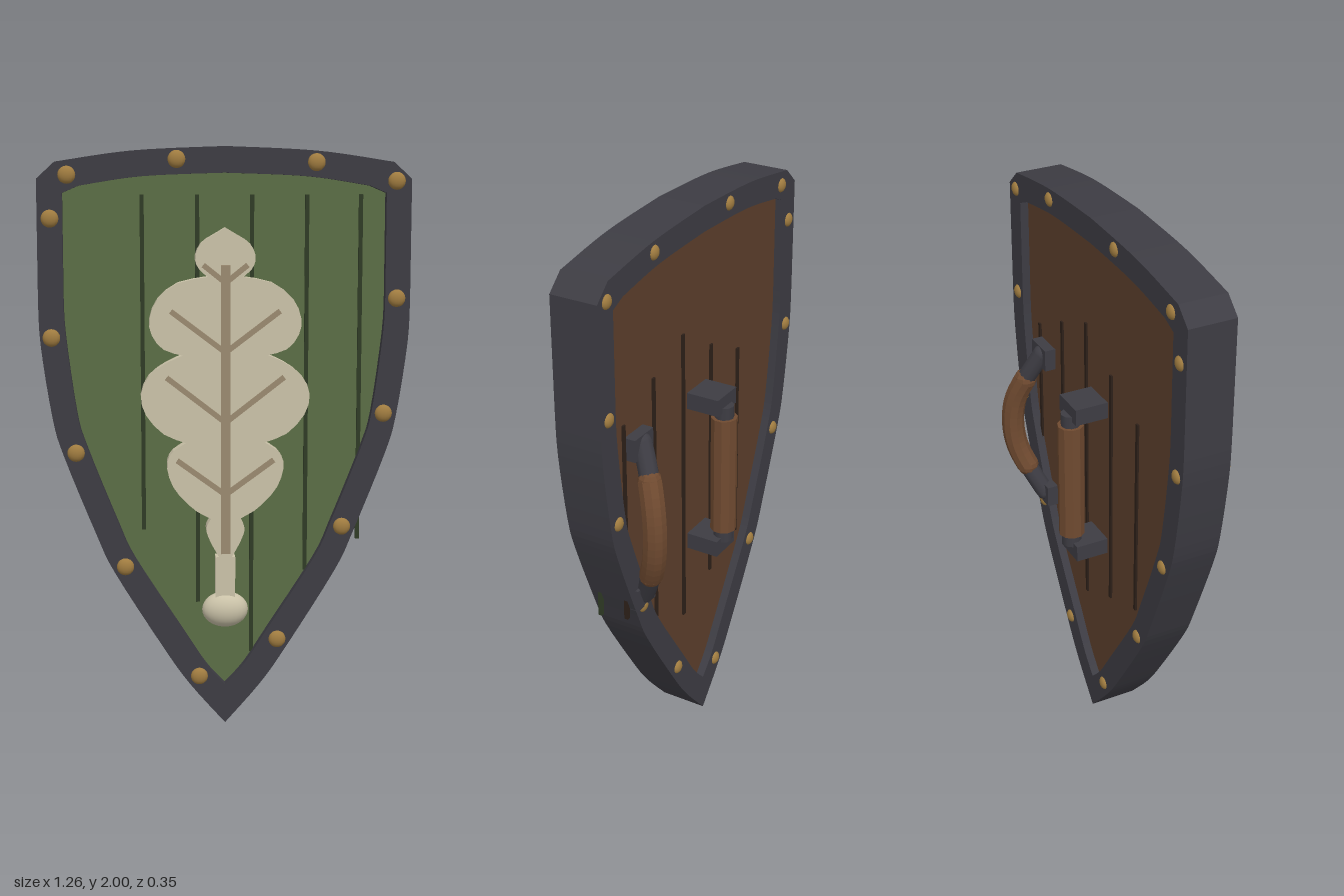
import * as THREE from 'three';

const mat = (name, color, extra = {}) => Object.assign(new THREE.MeshStandardMaterial({ color, ...extra }), { name });
const V3 = (x, y, z) => new THREE.Vector3(x, y, z);

// Half outlines (x >= 0) from the bottom tip up; lower curve and top arc are splines
const rimLower = [[0, 0], [0.124, 0.143], [0.217, 0.278], [0.382, 0.545], [0.443, 0.678], [0.55, 0.95], [0.588, 1.085], [0.625, 1.34], [0.631, 1.5]];
const rimTop = [[0.631, 1.892], [0.57, 1.948], [0.31, 1.985], [0, 2]];
const innerLower = [[0, 0.138], [0.065, 0.21], [0.143, 0.33], [0.308, 0.588], [0.367, 0.718], [0.47, 0.98], [0.505, 1.105], [0.54, 1.37], [0.546, 1.5]];
const innerTop = [[0.546, 1.845], [0.49, 1.869], [0.28, 1.9], [0, 1.912]];

const spline = (pts, n) => new THREE.SplineCurve(pts.map(p => new THREE.Vector2(...p))).getPoints(n);
// Close a right-hand half outline by mirroring it
function mirrored(half) {
  const left = half.slice().reverse().filter(p => p.x > 1e-4).map(p => new THREE.Vector2(-p.x, p.y));
  return half.concat(left);
}
const outline = (lower, top) => mirrored([
  ...spline(lower, 32),
  new THREE.Vector2(...top[0]),
  ...spline(top.slice(1), 14),
]);

function slab(points, z0, z1, hole) {
  const shape = new THREE.Shape(points);
  if (hole) shape.holes.push(new THREE.Path(hole));
  const g = new THREE.ExtrudeGeometry(shape, { depth: z1 - z0, bevelEnabled: false });
  return g.translate(0, 0, z0);
}

export function createModel() {
  const root = new THREE.Group();
  root.name = 'shield';
  const iron = mat('dark iron', 0x3d3c43);
  const green = mat('green paint', 0x5b6d45);
  const wood = mat('brown wood', 0x5c3f2b);
  const greenGroove = mat('dark green groove', 0x2f3b25);
  const woodGroove = mat('dark wood groove', 0x2d2019);
  const brass = mat('brass', 0xa07c40);
  const cream = mat('cream', 0xcac2a8);
  const vein = mat('tan vein', 0x9a8a70);
  const leather = mat('leather', 0x6f4a30, { flatShading: true });

  const add = (name, geo, material, parent = root) => {
    const m = new THREE.Mesh(geo, material);
    m.name = name;
    parent.add(m);
    return m;
  };
  const box = (name, w, h, d, x, y, z, material) =>
    add(name, new THREE.BoxGeometry(w, h, d).translate(x, y, z), material);

  // Rim and the two-faced board inside it
  const inner = outline(innerLower, innerTop);
  add('rim', slab(outline(rimLower, rimTop), -0.045, 0.125, inner), iron);
  add('frontPanel', slab(inner, 0.04, 0.09), green);
  add('backPanel', slab(inner, -0.015, 0.04), wood);

  // Plank grooves: x, front bottom, front top, back bottom, back top
  for (const [x, f0, f1, b0, b1] of [
    [-0.28, 0.69, 1.84, 0.63, 1.38], [-0.093, 0.43, 1.84, 0.56, 1.47], [0.093, 0.25, 1.84, 0.47, 1.58],
    [0.28, 0.54, 1.84, 0.57, 1.5], [0.463, 0.65, 1.84, 0.67, 1.41],
  ]) {
    box('frontGroove', 0.014, f1 - f0, 0.014, x, (f0 + f1) / 2, 0.09, greenGroove);
    box('backGroove', 0.014, b1 - b0, 0.014, x, (b0 + b1) / 2, -0.015, woodGroove);
  }

  // Rivets on both faces of the rim
  const rivets = [[-0.53, 1.905], [-0.163, 1.957], [0.308, 1.947], [0.58, 1.885], [0.585, 1.49], [0.545, 1.095], [0.405, 0.7],
    [0.182, 0.3], [-0.09, 0.17], [-0.345, 0.565], [-0.51, 0.965], [-0.588, 1.36], [-0.588, 1.76]];
  for (const [x, y] of rivets) {
    for (const [name, r, z] of [['frontRivet', 0.03, 0.125], ['backRivet', 0.025, -0.043]]) {
      const m = add(name, new THREE.SphereGeometry(r, 14, 10), brass);
      m.scale.z = 0.6;
      m.position.set(x, y, z);
    }
  }

  // Lobed leaf emblem: one spline per lobe so the notches stay sharp
  const lobes = [
    [[0.022, 0.6], [0.052, 0.655], [0.066, 0.7], [0.05, 0.735]],
    [[0.05, 0.735], [0.11, 0.77], [0.175, 0.84], [0.2, 0.915], [0.185, 0.965], [0.135, 1.0]],
    [[0.135, 1.0], [0.21, 1.03], [0.27, 1.095], [0.288, 1.165], [0.26, 1.23], [0.2, 1.275], [0.145, 1.3]],
    [[0.145, 1.3], [0.21, 1.32], [0.25, 1.37], [0.257, 1.425], [0.23, 1.49], [0.16, 1.545], [0.06, 1.565]],
    [[0.06, 1.565], [0.092, 1.595], [0.102, 1.635], [0.08, 1.68], [0.03, 1.712], [0, 1.73]],
  ];
  const leafHalf = [new THREE.Vector2(0.034, 0.43), new THREE.Vector2(0.034, 0.6), ...lobes.flatMap(l => spline(l, 12).slice(0, -1)), new THREE.Vector2(0, 1.73)];
  add('leaf', slab(mirrored(leafHalf), 0.088, 0.147), cream);
  const bulb = add('leafStalkBulb', new THREE.SphereGeometry(0.08, 24, 16), cream);
  bulb.scale.set(1, 0.78, 0.62);
  bulb.position.set(0, 0.41, 0.123);

  // Veins
  box('midVein', 0.032, 0.99, 0.026, 0, 1.11, 0.154, vein);
  for (const [y0, x1, y1] of [[0.82, 0.165, 0.94], [1.07, 0.2, 1.225], [1.31, 0.185, 1.45], [1.545, 0.075, 1.605]]) {
    for (const s of [-1, 1]) {
      const m = add('sideVein', new THREE.BoxGeometry(0.018, Math.hypot(x1, y1 - y0), 0.014), vein);
      m.position.set(s * x1 / 2, (y0 + y1) / 2, 0.15);
      m.rotation.z = -s * Math.atan2(x1, y1 - y0);
    }
  }

  // Straight centre grip on two blocks
  for (const y of [0.765, 1.32]) box('gripBlock', 0.125, 0.06, 0.122, 0, y, -0.074, iron);
  add('gripCore', new THREE.CylinderGeometry(0.034, 0.034, 0.53, 10).translate(0, 1.0425, -0.125), iron);
  add('grip', new THREE.CylinderGeometry(0.046, 0.046, 0.44, 10).translate(0, 1.0425, -0.125), leather);

  // Bowed arm loop on two plates near the left edge
  for (const y of [0.745, 1.32]) box('armLoopPlate', 0.11, 0.08, 0.045, 0.4, y, -0.033, iron);
  const loop = new THREE.CatmullRomCurve3([
    V3(0.395, 1.325, -0.045), V3(0.425, 1.24, -0.085), V3(0.458, 1.14, -0.122), V3(0.468, 1.035, -0.134),
    V3(0.458, 0.93, -0.122), V3(0.425, 0.83, -0.085), V3(0.395, 0.745, -0.045),
  ]);
  const part = (t0, t1) => new THREE.CatmullRomCurve3(Array.from({ length: 9 }, (_, i) => loop.getPointAt(t0 + (t1 - t0) * i / 8)));
  const tube = (name, t0, t1, r, material) => {
    add(name, new THREE.TubeGeometry(part(t0, t1), 14, r, 10), material);
    // Rounded end caps
    for (const t of [t0, t1]) add(name + 'End', new THREE.SphereGeometry(r, 10, 8), material).position.copy(loop.getPointAt(t));
  };
  tube('armLoopCore', 0, 1, 0.034, iron);
  tube('armLoopWrap', 0.2, 0.8, 0.041, leather);
  return root;
}
